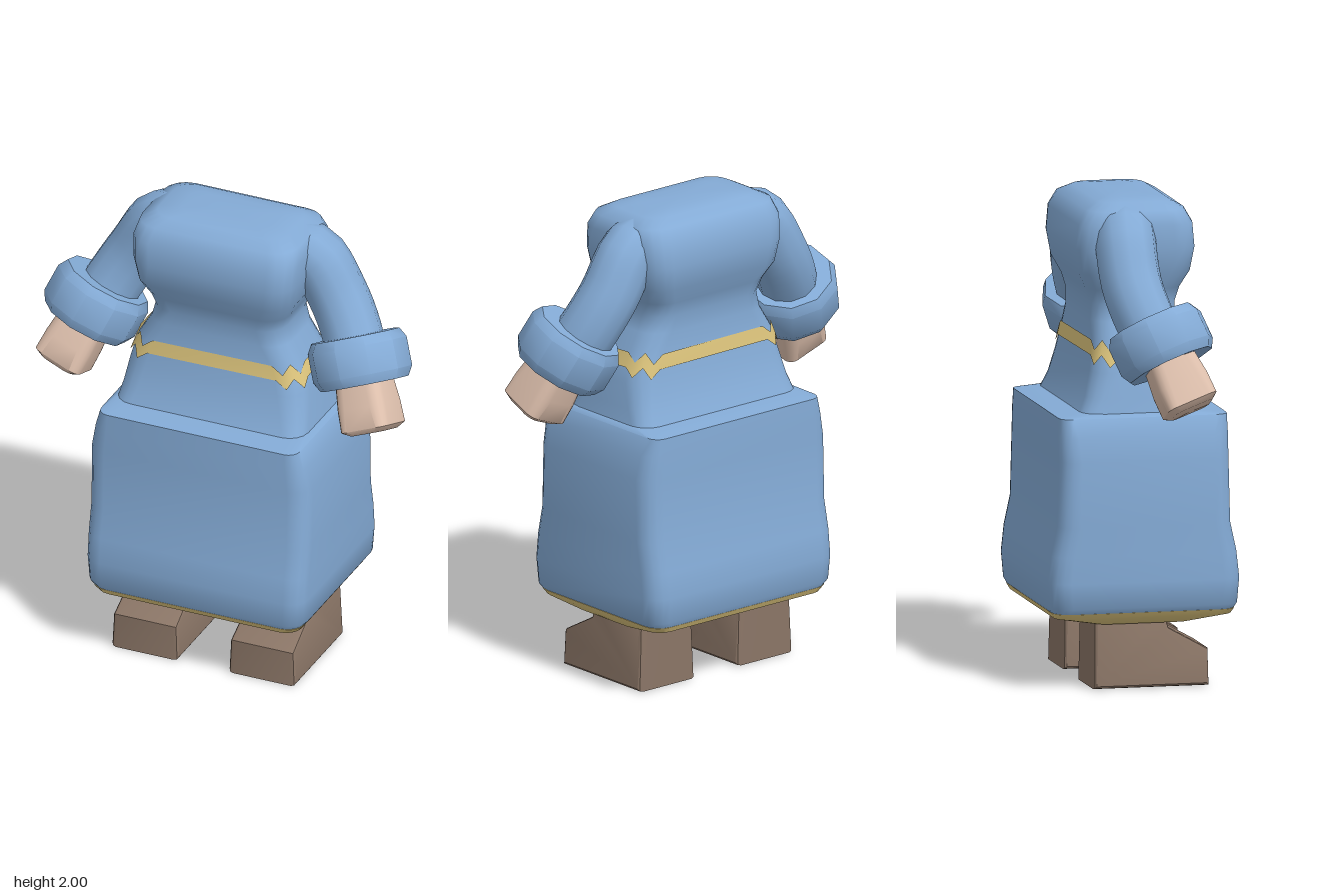
import * as THREE from 'three';
import { toCreasedNormals } from 'three/addons/utils/BufferGeometryUtils.js';

const mat = (name, color) => {
  const m = new THREE.MeshStandardMaterial({ color });
  m.name = name;
  return m;
};

// Skin of rounded rectangles stacked in y; each ring is [y, halfX, halfZ, cornerRadius]
function loft(rings, capped = true) {
  const steps = 4, n = 4 * (steps + 1), pos = [], index = [];
  for (const [y, hx, hz, r] of rings) {
    for (let c = 0; c < 4; c++) {
      const sx = c === 0 || c === 3 ? 1 : -1, sz = c < 2 ? 1 : -1;
      for (let k = 0; k <= steps; k++) {
        const a = (c + k / steps) * Math.PI / 2;
        pos.push(sx * (hx - r) + r * Math.cos(a), y, sz * (hz - r) + r * Math.sin(a));
      }
    }
  }
  for (let i = 0; i < rings.length - 1; i++) {
    for (let j = 0; j < n; j++) {
      const a = i * n + j, b = i * n + (j + 1) % n;
      index.push(a, a + n, b, b, a + n, b + n);
    }
  }
  if (capped) {
    const last = (rings.length - 1) * n, c0 = pos.length / 3;
    pos.push(0, rings[0][0], 0, 0, rings[rings.length - 1][0], 0);
    for (let j = 0; j < n; j++) {
      const k = (j + 1) % n;
      index.push(c0, j, k, c0 + 1, last + k, last + j);
    }
  }
  const g = new THREE.BufferGeometry();
  g.setAttribute('position', new THREE.Float32BufferAttribute(pos, 3));
  g.setIndex(index);
  return g;
}

export function createModel() {
  const model = new THREE.Group();
  const blue = mat('robe blue', 0x84abd6);
  const gold = mat('trim gold', 0xdcc47c);
  const skin = mat('skin', 0xdfc1ae);
  const brown = mat('boot brown', 0x8a7566);
  gold.side = THREE.DoubleSide;

  const add = (name, geo, material, crease = 0.8) => {
    const mesh = new THREE.Mesh(toCreasedNormals(geo, crease), material);
    mesh.name = name;
    model.add(mesh);
    return mesh;
  };

  // Boxy skirt with a flared hem and a ledge at the top
  add('skirt', loft([
    [0.31, 0.455, 0.375, 0.07], [0.345, 0.485, 0.392, 0.08], [0.45, 0.49, 0.4, 0.08],
    [0.56, 0.49, 0.388, 0.08], [0.68, 0.49, 0.362, 0.08], [0.95, 0.49, 0.355, 0.08],
    [1.05, 0.47, 0.355, 0.07], [1.125, 0.445, 0.352, 0.05], [1.14, 0.42, 0.25, 0.07],
  ]), blue);

  // Gold underside of the skirt, sagging toward the legs
  add('hemLining', loft([
    [0.262, 0.34, 0.12, 0.08], [0.27, 0.42, 0.22, 0.08],
    [0.298, 0.452, 0.37, 0.07], [0.322, 0.468, 0.382, 0.07],
  ]), gold);

  // Pinched waist swelling into the chest and shoulders
  add('torso', loft([
    [1.12, 0.425, 0.26, 0.08], [1.2, 0.41, 0.225, 0.09], [1.3, 0.395, 0.2, 0.1],
    [1.4, 0.37, 0.182, 0.1], [1.5, 0.31, 0.177, 0.1], [1.57, 0.29, 0.182, 0.1],
    [1.63, 0.31, 0.197, 0.1], [1.7, 0.345, 0.232, 0.1], [1.8, 0.36, 0.248, 0.1],
    [1.9, 0.365, 0.238, 0.1], [1.96, 0.35, 0.205, 0.1], [1.99, 0.29, 0.15, 0.08],
    [2.0, 0.2, 0.09, 0.05],
  ]), blue, 1);

  // Ragged belt: corner points zigzag up and down
  const belt = loft([[1.36, 0.388, 0.194, 0.1], [1.42, 0.367, 0.186, 0.1]], false);
  const p = belt.attributes.position;
  for (let i = 0; i < p.count; i++) {
    const k = i % 5, d = [0, -0.035, 0.012, -0.03, 0.005][k];
    p.setXYZ(i, p.getX(i) * (1 - d * 0.8), p.getY(i) + d, p.getZ(i) * (1 - d * 0.8));
  }
  add('belt', belt, gold);

  // Boot side outline, drawn as (z, y) and extruded across x
  const boot = new THREE.Shape([
    [-0.195, 0.012], [0.265, 0.012], [0.262, 0.145], [0.1, 0.235], [0.08, 0.3], [-0.19, 0.3],
  ].map(([z, y]) => new THREE.Vector2(z, y)));

  for (const s of [1, -1]) {
    const side = s > 0 ? 'left' : 'right';

    const bootGeo = new THREE.ExtrudeGeometry(boot, {
      depth: 0.25, bevelThickness: 0.02, bevelSize: 0.012, bevelSegments: 2,
    });
    bootGeo.translate(0, 0, -0.125);
    bootGeo.rotateY(-Math.PI / 2);
    const b = bootGeo.attributes.position;
    // Boots narrow slightly toward the ankle
    for (let i = 0; i < b.count; i++) b.setX(i, b.getX(i) * (1.03 - 0.3 * b.getY(i)));
    add(side + 'Boot', bootGeo, brown, 0.6).position.x = s * 0.262;

    // Sleeve from shoulder to cuff
    const path = new THREE.CatmullRomCurve3([
      [0.25, 1.86, -0.04], [0.34, 1.845, -0.06], [0.45, 1.68, -0.06], [0.52, 1.56, -0.03], [0.58, 1.44, 0.02],
    ].map(([x, y, z]) => new THREE.Vector3(s * x, y, z)));
    add(side + 'Sleeve', new THREE.TubeGeometry(path, 14, 0.125, 12), blue, 1);

    // Cuff and hand share the forearm axis, down and slightly out and forward
    const axis = new THREE.Vector3(s * 0.36, -0.86, 0.34).normalize();
    const turn = new THREE.Quaternion().setFromUnitVectors(new THREE.Vector3(0, -1, 0), axis);

    const profile = [
      [0, -0.085], [0.11, -0.09], [0.185, -0.1], [0.208, -0.06],
      [0.208, 0.06], [0.185, 0.1], [0.1, 0.1], [0, 0.1],
    ].map(([r, y]) => new THREE.Vector2(r, y));
    const cuff = add(side + 'Cuff', new THREE.LatheGeometry(profile, 10), blue, 0.7);
    cuff.position.set(s * 0.59, 1.45, 0.03);
    cuff.quaternion.copy(turn);

    const hand = add(side + 'Hand', loft([
      [-0.11, 0.08, 0.085, 0.04], [-0.09, 0.108, 0.11, 0.04],
      [0, 0.108, 0.112, 0.05], [0.12, 0.1, 0.1, 0.05],
    ]), skin, 0.9);
    hand.position.set(s * 0.66, 1.285, 0.095);
    hand.quaternion.copy(turn);
  }
  return model;
}
